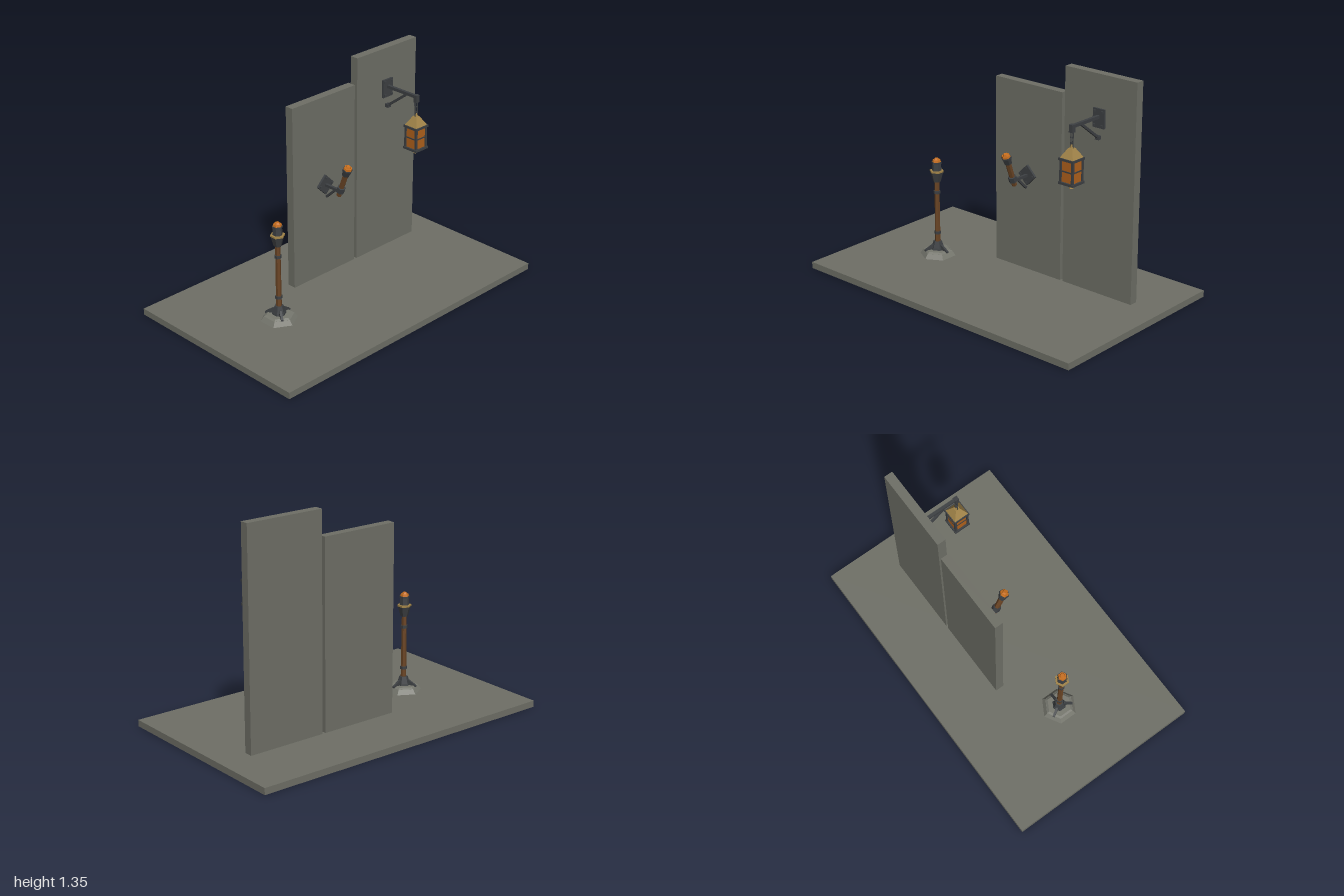
import * as THREE from 'three';

const mat = (name, color) => {
  const m = new THREE.MeshStandardMaterial({ color, flatShading: true });
  m.name = name;
  return m;
};

export function createModel() {
  const slate = mat('slate', 0x6e6f66);
  const stone = mat('pale stone', 0x77786f);
  const iron = mat('iron', 0x3d4043);
  const wood = mat('wood', 0x6b4525);
  const brass = mat('brass', 0xa08348);
  const ember = mat('ember', 0xc86f1e);
  const glass = mat('amber glass', 0xb0611c);

  const add = (parent, name, geo, material, x = 0, y = 0, z = 0) => {
    const m = new THREE.Mesh(geo, material);
    m.name = name;
    m.position.set(x, y, z);
    parent.add(m);
    return m;
  };
  const group = (parent, name, x, y, z) => {
    const g = new THREE.Group();
    g.name = name;
    g.position.set(x, y, z);
    parent.add(g);
    return g;
  };
  const box = (p, name, m, w, h, d, x, y, z) => add(p, name, new THREE.BoxGeometry(w, h, d), m, x, y, z);
  // Tapered prism between two heights
  const taper = (p, name, m, rBottom, rTop, y0, y1, sides = 6) =>
    add(p, name, new THREE.CylinderGeometry(rTop, rBottom, y1 - y0, sides), m, 0, (y0 + y1) / 2, 0);
  // Square bar in the y-z plane between two points
  const bar = (p, name, m, y0, z0, y1, z1, t) => {
    const b = box(p, name, m, t, t, Math.hypot(y1 - y0, z1 - z0), 0, (y0 + y1) / 2, (z0 + z1) / 2);
    b.rotation.x = -Math.atan2(y1 - y0, z1 - z0);
    return b;
  };

  const model = new THREE.Group();
  model.name = 'torchAndLanternDisplay';

  // Floor and walls
  box(model, 'floor', slate, 2, 0.04, 1.23, 0, 0.02, 0);
  box(model, 'lowWall', slate, 0.5, 1.15, 0.053, 0.035, 0.615, -0.2);
  box(model, 'highWall', slate, 0.5, 1.31, 0.053, 0.555, 0.695, -0.2);

  // Standing torch
  const stand = group(model, 'standingTorch', -0.52, 0, 0.02);
  taper(stand, 'stoneFoot', stone, 0.11, 0.09, 0.04, 0.068);
  taper(stand, 'stoneCap', stone, 0.088, 0.075, 0.068, 0.076);
  taper(stand, 'ironBase', iron, 0.044, 0.04, 0.07, 0.088);
  taper(stand, 'ironSocket', iron, 0.038, 0.026, 0.088, 0.128);
  const finShape = new THREE.Shape();
  finShape.moveTo(0.02, 0.068);
  finShape.lineTo(0.082, 0.068);
  finShape.lineTo(0.082, 0.077);
  finShape.lineTo(0.035, 0.108);
  finShape.lineTo(0.02, 0.108);
  const finGeo = new THREE.ExtrudeGeometry(finShape, { depth: 0.014, bevelEnabled: false }).translate(0, 0, -0.007);
  for (let i = 0; i < 3; i++) add(stand, 'baseFin', finGeo, iron).rotation.y = (i * Math.PI * 2) / 3;
  taper(stand, 'shaft', wood, 0.017, 0.015, 0.12, 0.53);
  for (const y of [0.184, 0.445]) taper(stand, 'shaftBand', iron, 0.021, 0.021, y - 0.009, y + 0.009);
  taper(stand, 'cup', iron, 0.023, 0.04, 0.512, 0.574);
  taper(stand, 'cupRim', brass, 0.043, 0.043, 0.574, 0.584);
  taper(stand, 'torchHead', iron, 0.03, 0.026, 0.584, 0.632);
  taper(stand, 'headCollar', iron, 0.031, 0.031, 0.626, 0.638);
  taper(stand, 'emberLow', ember, 0.027, 0.024, 0.638, 0.65);
  taper(stand, 'emberTop', ember, 0.018, 0.012, 0.65, 0.66);

  // Wall torch bracket
  const wallTorch = group(model, 'wallTorch', 0.035, 0, 0);
  box(wallTorch, 'backPlate', iron, 0.09, 0.09, 0.014, 0, 0.637, -0.167).rotation.z = Math.PI / 4;
  for (const [x, y] of [[0, 0.045], [0, -0.045], [0.045, 0], [-0.045, 0]])
    box(wallTorch, 'plateBolt', iron, 0.01, 0.01, 0.008, x, 0.637 + y, -0.157);
  bar(wallTorch, 'arm', iron, 0.637, -0.165, 0.637, -0.045, 0.016);
  bar(wallTorch, 'brace', iron, 0.633, -0.08, 0.562, -0.156, 0.013);
  // Tilted torch, measured along its own axis from the collar
  const torch = group(wallTorch, 'tiltedTorch', 0, 0.648, -0.038);
  torch.rotation.x = 0.36;
  taper(torch, 'shaft', wood, 0.016, 0.018, -0.045, 0.13);
  taper(torch, 'collar', iron, 0.026, 0.026, -0.016, 0.018);
  taper(torch, 'head', iron, 0.022, 0.03, 0.112, 0.155);
  taper(torch, 'headRim', iron, 0.031, 0.031, 0.15, 0.16);
  taper(torch, 'emberLow', ember, 0.027, 0.024, 0.16, 0.172);
  taper(torch, 'emberTop', ember, 0.018, 0.012, 0.172, 0.182);

  // Lantern bracket
  const bracket = group(model, 'lanternBracket', 0.555, 0, 0);
  box(bracket, 'backPlate', iron, 0.08, 0.112, 0.012, 0, 1.098, -0.167);
  for (const x of [-0.028, 0.028])
    for (const y of [1.056, 1.14]) box(bracket, 'plateBolt', iron, 0.012, 0.012, 0.008, x, y, -0.158);
  bar(bracket, 'arm', iron, 1.108, -0.165, 1.108, 0.07, 0.018);
  box(bracket, 'armEnd', iron, 0.026, 0.045, 0.026, 0, 1.097, 0.067);
  bar(bracket, 'brace', iron, 1.102, -0.01, 0.992, -0.155, 0.014);
  box(bracket, 'braceFoot', iron, 0.026, 0.022, 0.024, 0, 0.987, -0.161);

  // Chain of square links, turned alternately
  const lantern = group(model, 'lantern', 0.555, 0, 0.067);
  [1.062, 1.027, 0.997].forEach((y, i) => {
    const link = group(lantern, 'chainLink', 0, y, 0);
    link.rotation.y = i % 2 ? Math.PI / 2 : 0;
    for (const s of [-1, 1]) {
      box(link, 'linkSide', iron, 0.005, 0.04, 0.005, s * 0.008, 0, 0);
      box(link, 'linkEnd', iron, 0.021, 0.005, 0.005, 0, s * 0.018, 0);
    }
  });

  // Lantern roof and finials
  const r2 = Math.SQRT2;
  taper(lantern, 'roof', brass, 0.047 * r2, 0.014 * r2, 0.93, 0.985, 4).rotation.y = Math.PI / 4;
  taper(lantern, 'roofFinial', brass, 0.011, 0.007, 0.985, 1.005);
  taper(lantern, 'lowerFinialNeck', brass, 0.007, 0.007, 0.766, 0.785);
  taper(lantern, 'lowerFinial', brass, 0.013, 0.007, 0.75, 0.768);

  // Lantern body
  box(lantern, 'topFrame', iron, 0.104, 0.014, 0.104, 0, 0.924, 0);
  box(lantern, 'bottomFrame', iron, 0.104, 0.014, 0.104, 0, 0.786, 0);
  box(lantern, 'panes', glass, 0.082, 0.13, 0.082, 0, 0.855, 0);
  box(lantern, 'middleBand', iron, 0.088, 0.008, 0.088, 0, 0.855, 0);
  for (const x of [-1, 1])
    for (const z of [-1, 1]) box(lantern, 'cornerPost', iron, 0.013, 0.13, 0.013, x * 0.041, 0.855, z * 0.041);

  return model;
}
